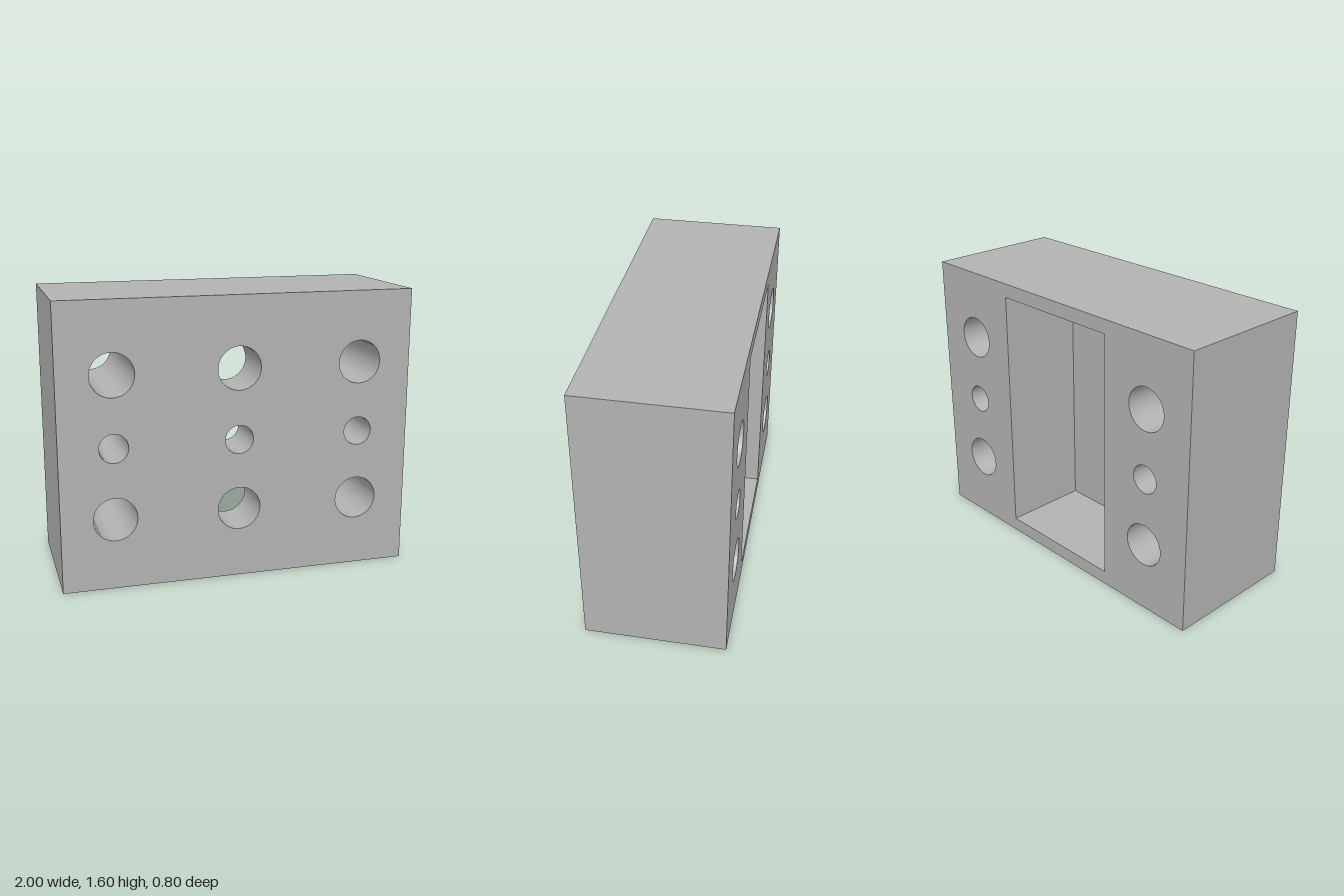
import * as THREE from 'three';

const W = 2, H = 1.6, D = 0.8, CY = H / 2;            // block
const PW = 0.8, PH = 1.44, FLOOR = 0.1;               // rear pocket
const FRONT = D / 2, BACK = -D / 2;

export function createModel() {
  const group = new THREE.Group();
  group.name = 'drilledBlock';
  const grey = new THREE.MeshStandardMaterial({ color: 0xb2b2b2 });

  const add = (name, geometry) => {
    const mesh = new THREE.Mesh(geometry, grey);
    mesh.name = name;
    group.add(mesh);
    return mesh;
  };

  const rect = (Type, w, h) => new Type([
    new THREE.Vector2(-w / 2, CY - h / 2), new THREE.Vector2(w / 2, CY - h / 2),
    new THREE.Vector2(w / 2, CY + h / 2), new THREE.Vector2(-w / 2, CY + h / 2),
  ]);

  // Three columns of holes: large, small, large
  const holes = [];
  for (const x of [-0.7, 0, 0.7]) {
    for (const [y, r] of [[0.4, 0.122], [0.8, 0.081], [1.2, 0.122]]) holes.push({ x, y, r });
  }
  const circle = ({ x, y, r }) => new THREE.Path().absarc(x, y, r, 0, Math.PI * 2, true);

  // Flat plate pierced by holes, facing front or back (the layout is mirror-symmetric)
  const plate = (name, w, h, cutouts, z, facesBack) => {
    const shape = rect(THREE.Shape, w, h);
    shape.holes.push(...cutouts);
    const mesh = add(name, new THREE.ShapeGeometry(shape, 32));
    mesh.position.z = z;
    if (facesBack) mesh.rotation.y = Math.PI;
  };
  const sideHoles = holes.filter(h => h.x !== 0);
  const middleHoles = holes.filter(h => h.x === 0);
  plate('frontFace', W, H, holes.map(circle), FRONT, false);
  plate('backFace', W, H, [rect(THREE.Path, PW, PH), ...sideHoles.map(circle)], BACK, true);
  plate('pocketFloor', PW, PH, middleHoles.map(circle), FLOOR, true);

  // Four walls around a rectangle, facing outward (1) or inward (-1)
  const walls = (name, w, h, z0, z1, facing) => {
    const depth = z1 - z0, z = (z0 + z1) / 2;
    for (const s of [-1, 1]) {
      const side = new THREE.PlaneGeometry(depth, h).rotateY(s * facing * Math.PI / 2);
      add(name + 'Side', side.translate(s * w / 2, CY, z));
      const level = new THREE.PlaneGeometry(w, depth).rotateX(-s * facing * Math.PI / 2);
      add(name + (s > 0 ? 'Top' : 'Bottom'), level.translate(0, CY + s * h / 2, z));
    }
  };
  walls('outer', W, H, BACK, FRONT, 1);
  walls('pocket', PW, PH, BACK, FLOOR, -1);

  // Smooth bores; the profile runs downward so that they face inward
  for (const { x, y, r } of holes) {
    const end = x === 0 ? FLOOR : BACK;
    const profile = [new THREE.Vector2(r, FRONT), new THREE.Vector2(r, end)];
    add('holeBore', new THREE.LatheGeometry(profile, 64).rotateX(Math.PI / 2).translate(x, y, 0));
  }
  return group;
}
